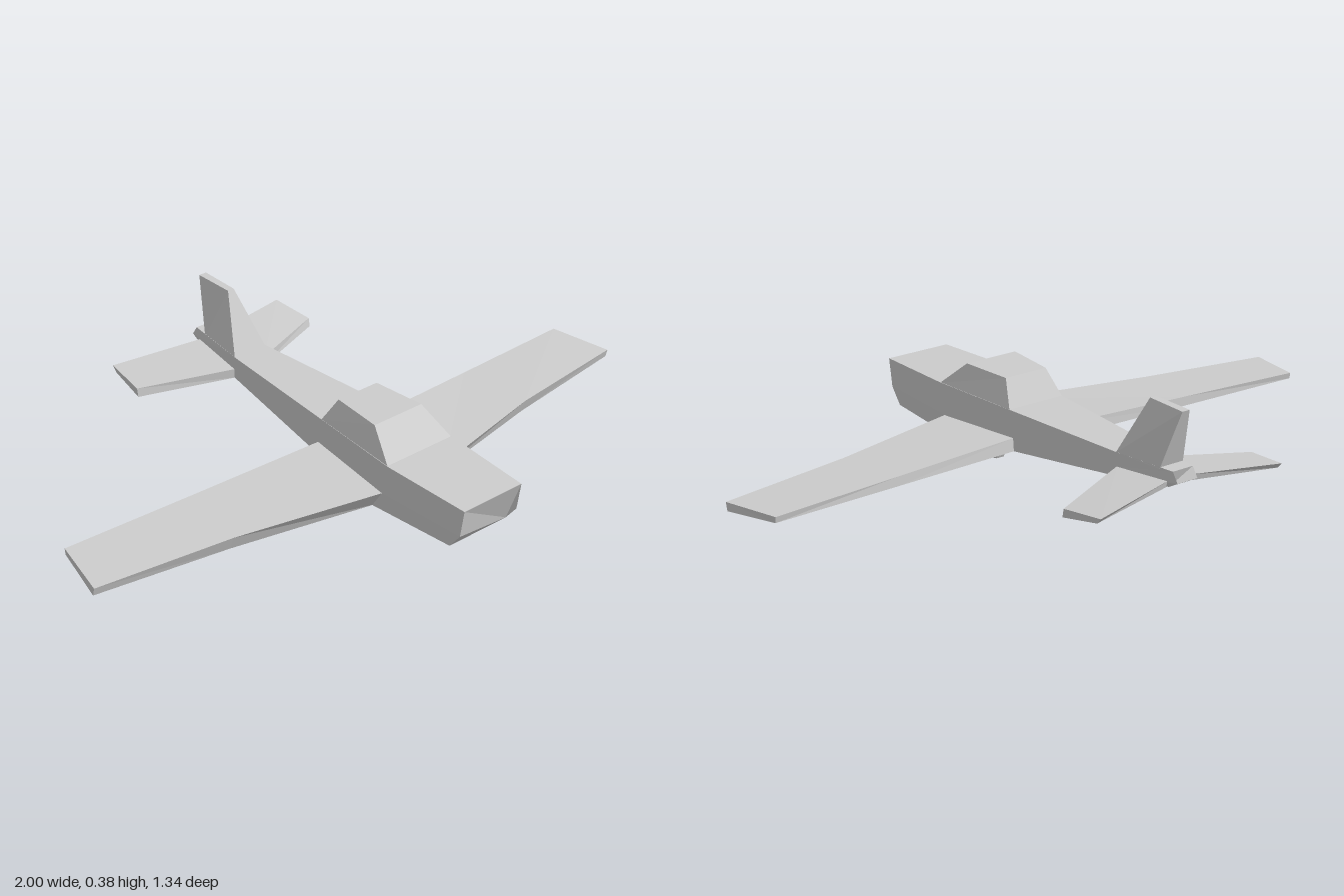
import * as THREE from 'three';

const CX = 0.015; // fuselage centreline

// Closed solid skinned through rings of [x, y, z] points, with flat facets.
function loft(rings) {
  const tris = [];
  const n = rings[0].length;
  for (let r = 0; r < rings.length - 1; r++) {
    const a = rings[r], b = rings[r + 1];
    for (let i = 0; i < n; i++) {
      const j = (i + 1) % n;
      tris.push([a[i], b[i], b[j]], [a[i], b[j], a[j]]);
    }
  }
  const first = rings[0], last = rings[rings.length - 1];
  for (let i = 1; i < n - 1; i++) {
    tris.push([first[0], first[i], first[i + 1]], [last[0], last[i + 1], last[i]]);
  }
  // Signed volume decides whether the corners must be reversed to face outward.
  let volume = 0;
  const [p, q, s] = [new THREE.Vector3(), new THREE.Vector3(), new THREE.Vector3()];
  for (const t of tris) {
    volume += p.fromArray(t[0]).dot(q.fromArray(t[1]).cross(s.fromArray(t[2])));
  }
  if (volume < 0) tris.forEach((t) => t.reverse());
  const g = new THREE.BufferGeometry();
  g.setAttribute('position', new THREE.Float32BufferAttribute(tris.flat(2), 3));
  g.computeVertexNormals();
  return g;
}

export function createModel() {
  const grey = new THREE.MeshStandardMaterial({ color: 0xcccccc, flatShading: true });
  grey.name = 'plainGrey';
  const model = new THREE.Group();
  model.name = 'lightAircraft';
  const add = (name, rings) => {
    const mesh = new THREE.Mesh(loft(rings), grey);
    mesh.name = name;
    model.add(mesh);
  };

  // Fuselage: half width, then [z, y] of the top, middle and bottom edges
  const stations = [
    [0.11, [0.67, 0.19], [0.655, 0.10], [0.615, 0.05]],
    [0.125, [0.37, 0.20], [0.35, 0.10], [0.31, 0.04]],
    [0.098, [0.05, 0.20], [0.05, 0.12], [0.03, 0.075]],
    [0.06, [-0.40, 0.20], [-0.40, 0.157], [-0.40, 0.127]],
    [0.036, [-0.62, 0.205], [-0.64, 0.175], [-0.605, 0.155]],
  ];
  add('fuselage', stations.map(([w, top, mid, low]) => [
    ...[low, mid, top].map(([z, y]) => [CX + w, y, z]),
    ...[top, mid, low].map(([z, y]) => [CX - w, y, z]),
  ]));

  // Canopy: rectangular base tapering to a smaller roof
  const frame = (y, front, wf, back, wb) => [
    [CX - wf, y, front], [CX + wf, y, front], [CX + wb, y, back], [CX - wb, y, back],
  ];
  add('canopy', [
    frame(0.198, 0.37, 0.124, 0.05, 0.098),
    frame(0.28, 0.275, 0.09, 0.10, 0.074),
  ]);

  // Tail fin
  add('tailFin', [
    frame(0.198, -0.40, 0.06, -0.57, 0.042),
    frame(0.378, -0.488, 0.011, -0.628, 0.013),
  ]);

  for (const [side, s] of [['left', 1], ['right', -1]]) {
    // Wing: root, kink and tip, each from leading top round to leading bottom
    const root = (x) => CX + s * x;
    add(side + 'Wing', [
      [[root(0.115), 0.10, 0.35], [root(0.09), 0.115, 0.035],
        [root(0.09), 0.075, 0.03], [root(0.115), 0.04, 0.31]],
      [[s * 0.57, 0.097, 0.245], [s * 0.535, 0.107, 0.01],
        [s * 0.535, 0.078, 0.008], [s * 0.57, 0.054, 0.23]],
      [[s * 1.0, 0.09, 0.182], [s * 0.957, 0.10, -0.015],
        [s * 0.957, 0.081, -0.012], [s * 1.0, 0.064, 0.175]],
    ]);

    // Tailplane
    add(side + 'Tailplane', [
      [[root(0.055), 0.157, -0.402], [root(0.035), 0.172, -0.60],
        [root(0.035), 0.152, -0.595], [root(0.055), 0.127, -0.402]],
      [[root(0.342), 0.142, -0.525], [root(0.327), 0.156, -0.668],
        [root(0.327), 0.138, -0.652], [root(0.342), 0.115, -0.52]],
    ]);

    // Landing skid under the wing root
    const skid = [[0.275, 0.06], [0.24, 0.0], [0.11, 0.028], [0.09, 0.08]];
    add(side + 'LandingSkid', [0.076, 0.102].map((x) => skid.map(([z, y]) => [root(x), y, z])));
  }
  return model;
}
